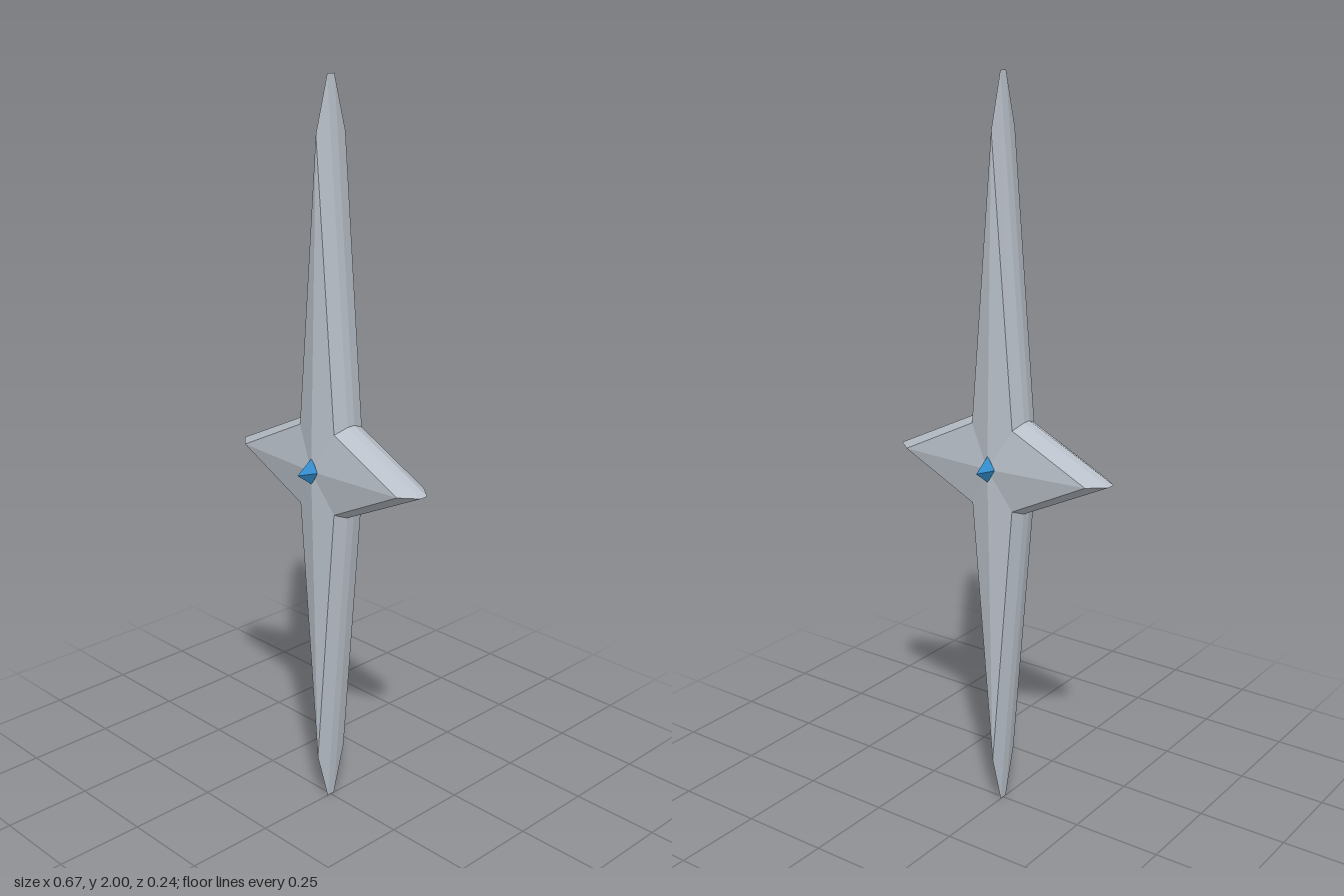
import * as THREE from 'three';

const steel = new THREE.MeshStandardMaterial({ color: 0xb8bfc8, flatShading: true });
steel.name = 'pale steel';
const blue = new THREE.MeshStandardMaterial({ color: 0x3490d0, flatShading: true });
blue.name = 'gem blue';

// Four-pointed outline, counter-clockwise seen from the front
function starRing(tipX, tipY, notchX, notchY, z) {
  return [
    [tipX, 0], [notchX, notchY], [0, tipY], [-notchX, notchY],
    [-tipX, 0], [-notchX, -notchY], [0, -tipY], [notchX, -notchY],
  ].map(([x, y]) => [x, y, z]);
}

// Bevelled star lofted through rings from front to back, closed by raised centres
function starGeometry() {
  const face = z => starRing(0.287, 0.86, 0.064, 0.11, z);
  const rim = z => starRing(0.333, 1, 0.075, 0.125, z);
  const rings = [face(0.05), rim(0.012), rim(-0.012), face(-0.05)];
  const front = [0, 0, 0.071], back = [0, 0, -0.071];
  const positions = [];
  const tri = (a, b, c) => positions.push(...a, ...b, ...c);
  for (let i = 0; i < 8; i++) {
    const j = (i + 1) % 8;
    tri(front, rings[0][i], rings[0][j]);
    for (let r = 0; r < 3; r++) {
      const p = rings[r], q = rings[r + 1];
      tri(p[i], q[i], q[j]);
      tri(p[i], q[j], p[j]);
    }
    tri(back, rings[3][j], rings[3][i]);
  }
  const geometry = new THREE.BufferGeometry();
  geometry.setAttribute('position', new THREE.Float32BufferAttribute(positions, 3));
  geometry.computeVertexNormals();
  return geometry;
}

export function createModel() {
  const model = new THREE.Group();
  model.name = 'throwingStar';

  const blade = new THREE.Mesh(starGeometry(), steel);
  blade.name = 'starBlade';
  blade.position.y = 1;
  model.add(blade);

  // Pointed gem on each face
  for (const side of [1, -1]) {
    const gem = new THREE.Mesh(new THREE.OctahedronGeometry(1), blue);
    gem.name = side > 0 ? 'frontGem' : 'backGem';
    gem.scale.set(0.022, 0.036, 0.05);
    gem.position.set(0, 1, side * 0.069);
    model.add(gem);
  }
  return model;
}
